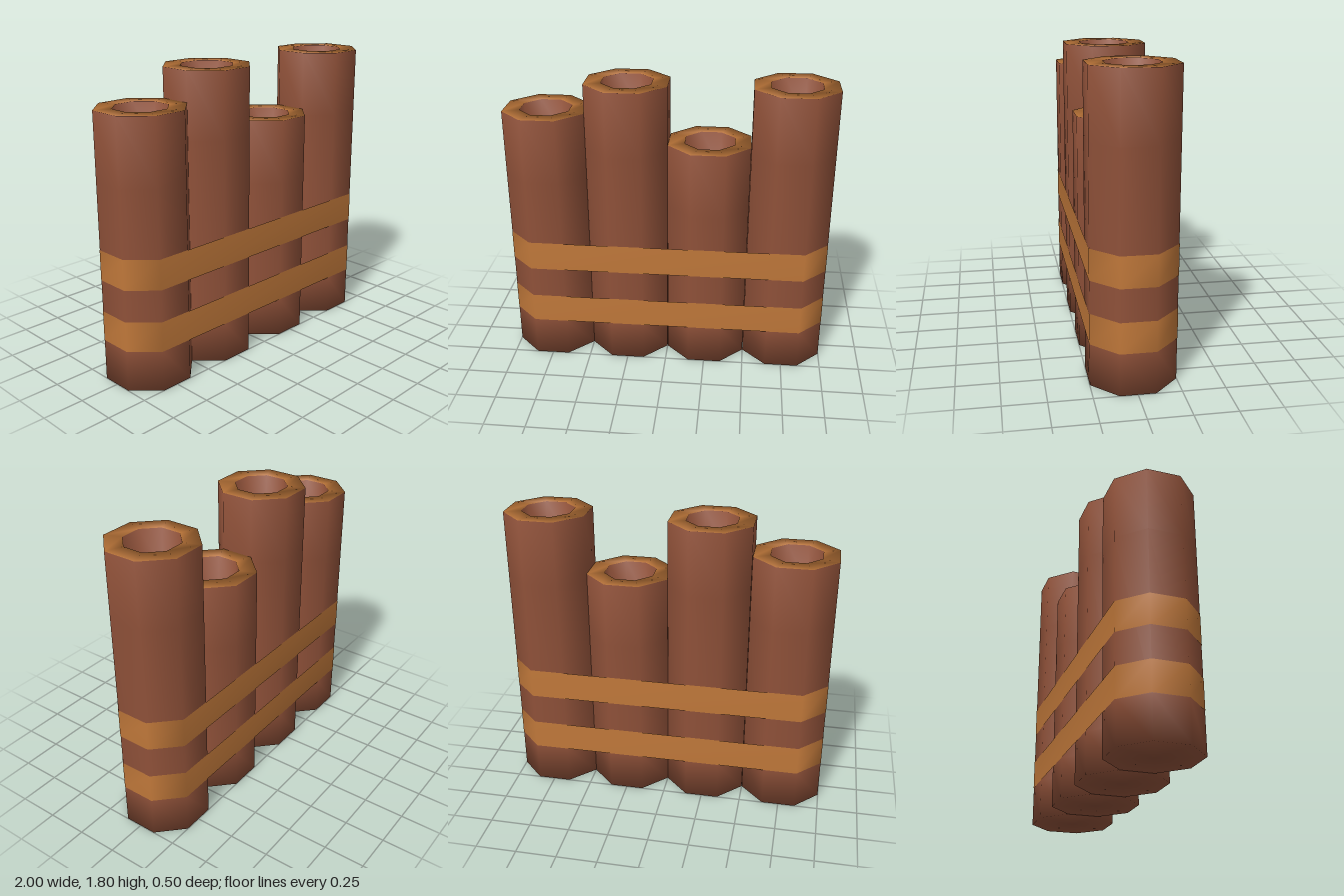
import * as THREE from 'three';
import { mergeVertices } from 'three/addons/utils/BufferGeometryUtils.js';

const SIDES = 8;
const toCorner = 1 / Math.cos(Math.PI / SIDES); // flat-to-centre distance -> corner radius

// Share vertices across seams so the shading is smooth everywhere
function smooth(geometry) {
  geometry.deleteAttribute('normal');
  geometry.deleteAttribute('uv');
  const merged = mergeVertices(geometry, 1e-4);
  merged.computeVertexNormals();
  return merged;
}

// Octagonal pipe with a bored top; the rim uses the second material
function pipeGeometry(height) {
  const outer = 0.249 * toCorner, inner = 0.15 * toCorner;
  const profile = [
    [0, 0], [outer, 0], [outer, 0.25], [outer, height - 0.4], [outer, height],
    [inner, height], [inner, height - 0.25], [0, height - 0.25],
  ].map(([r, y]) => new THREE.Vector2(r, y));
  const rimEdge = 4;

  // Lathe with the axis triangles kept, so every edge has six indices
  const rings = profile.length, positions = [], indices = [];
  for (let i = 0; i < SIDES; i++) {
    const a = (i + 0.5) * Math.PI * 2 / SIDES;
    for (const p of profile) positions.push(p.x * Math.sin(a), p.y, p.x * Math.cos(a));
  }
  const geometry = new THREE.BufferGeometry();
  for (let j = 0; j < rings - 1; j++) {
    geometry.addGroup(indices.length, SIDES * 6, j === rimEdge ? 1 : 0);
    for (let i = 0; i < SIDES; i++) {
      const a = i * rings + j, b = ((i + 1) % SIDES) * rings + j;
      indices.push(a, b, a + 1, b, b + 1, a + 1);
    }
  }
  geometry.setAttribute('position', new THREE.Float32BufferAttribute(positions, 3));
  geometry.setIndex(indices);
  return smooth(geometry);
}

// Octagonal hoop stretched sideways so it wraps the whole row
function bandGeometry(height) {
  const r = 0.251 * toCorner;
  const hoop = new THREE.CylinderGeometry(r, r, height, SIDES, 1, true, Math.PI / SIDES);
  const pos = hoop.attributes.position;
  for (let i = 0; i < pos.count; i++) {
    pos.setX(i, pos.getX(i) + Math.sign(pos.getX(i)) * 0.749);
  }
  return smooth(hoop);
}

export function createModel() {
  const model = new THREE.Group();
  model.name = 'panPipes';

  const wood = new THREE.MeshStandardMaterial({ color: 0x8f5139 });
  wood.name = 'brown wood';
  const copper = new THREE.MeshStandardMaterial({ color: 0xc0783a, side: THREE.DoubleSide });
  copper.name = 'orange binding';

  // Row of pipes, from the model's right to its left
  [1.62, 1.8, 1.44, 1.8].forEach((height, i) => {
    const pipe = new THREE.Mesh(pipeGeometry(height), [wood, copper]);
    pipe.name = `pipe${i + 1}`;
    pipe.position.x = -0.75 + i * 0.5;
    model.add(pipe);
  });

  // Two bindings around the row
  [['lowerBand', 0.345], ['upperBand', 0.725]].forEach(([name, y]) => {
    const band = new THREE.Mesh(bandGeometry(0.185), copper);
    band.name = name;
    band.position.y = y;
    model.add(band);
  });

  return model;
}
